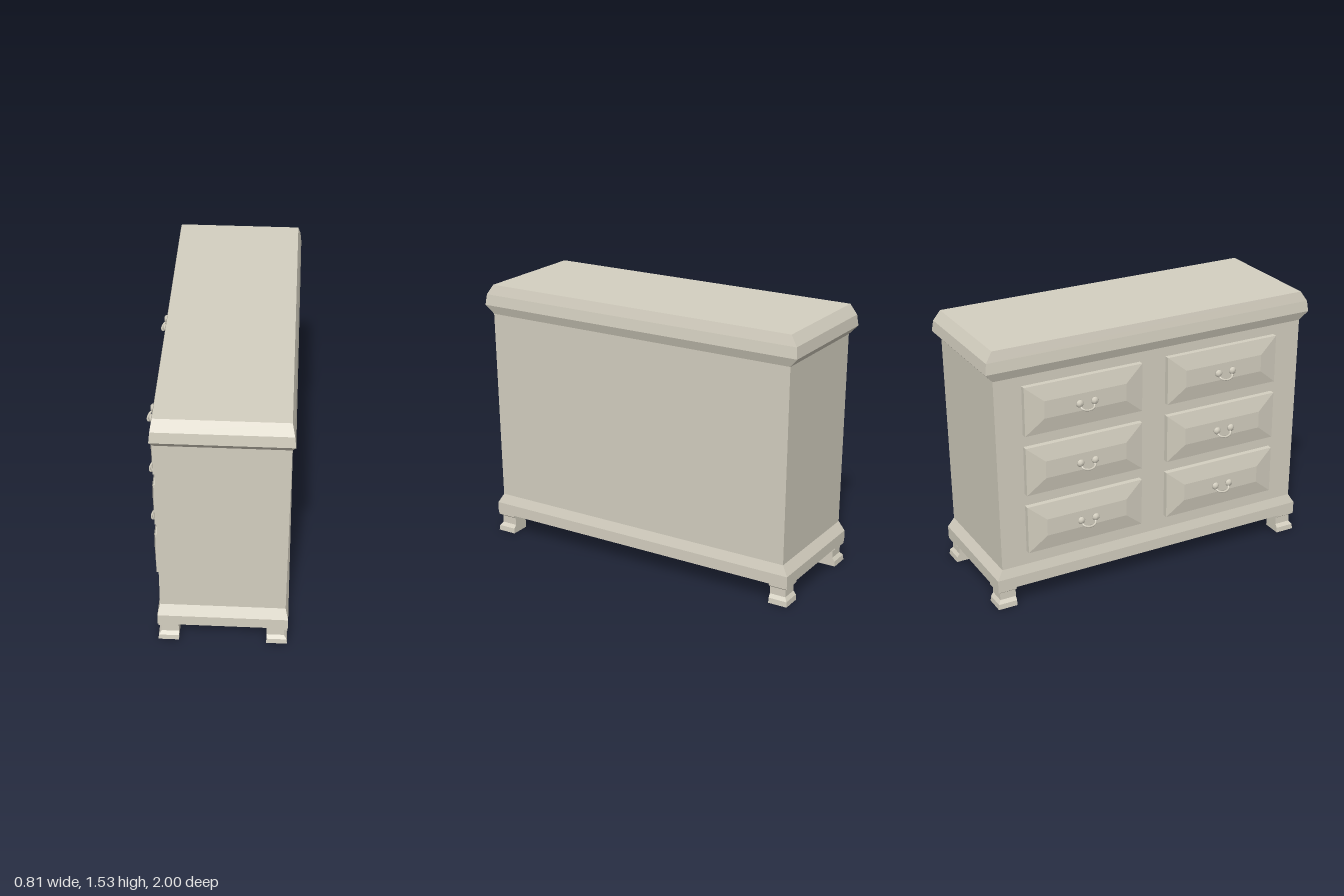
import * as THREE from 'three';

// Stack of rectangles [y, x0, x1, z0, z1], closed at both ends, with flat faces
function loft(sections) {
  const points = [], index = [];
  for (const [y, x0, x1, z0, z1] of sections) {
    points.push(x0, y, z0, x0, y, z1, x1, y, z1, x1, y, z0);
  }
  for (let i = 0; i < sections.length - 1; i++) {
    for (let k = 0; k < 4; k++) {
      const a = i * 4 + k, b = i * 4 + (k + 1) % 4;
      index.push(a, b, b + 4, a, b + 4, a + 4);
    }
  }
  const t = (sections.length - 1) * 4;
  index.push(0, 2, 1, 0, 3, 2, t, t + 1, t + 2, t, t + 2, t + 3);
  const indexed = new THREE.BufferGeometry();
  indexed.setAttribute('position', new THREE.Float32BufferAttribute(points, 3));
  indexed.setIndex(index);
  const geometry = indexed.toNonIndexed();
  geometry.computeVertexNormals();
  return geometry;
}

export function createModel() {
  const model = new THREE.Group();
  model.name = 'dresser';
  const paint = new THREE.MeshStandardMaterial({ color: 0xd4cfc0 });
  paint.name = 'creamPaint';

  function add(parent, name, geometry) {
    const mesh = new THREE.Mesh(geometry, paint);
    mesh.name = name;
    parent.add(mesh);
    return mesh;
  }
  const ring = ([y, x0, x1, z]) => [y, x0, x1, -z, z];

  // Carcass: plinth, slightly tapered body and moulded top
  add(model, 'plinth', loft([
    [0.117, -0.316, 0.402, 0.976], [0.182, -0.316, 0.402, 0.976], [0.238, -0.303, 0.386, 0.942],
  ].map(ring)));
  add(model, 'body', loft([
    [0.238, -0.303, 0.386, 0.942], [1.357, -0.304, 0.392, 0.954],
  ].map(ring)));
  add(model, 'top', loft([
    [1.357, -0.304, 0.392, 0.954], [1.408, -0.324, 0.41, 1.0],
    [1.47, -0.318, 0.403, 0.992], [1.528, -0.307, 0.389, 0.954],
  ].map(ring)));

  // Feet: straight inner faces, flared outer faces; [y, outward inset]
  const footProfile = [[0, 0], [0.03, 0.003], [0.05, 0.018], [0.093, 0.018], [0.105, 0.002], [0.118, 0.002]];
  const span = (s, inner, outer) => s > 0 ? [inner, outer] : [-outer, -inner];
  for (const sx of [-1, 1]) {
    for (const sz of [-1, 1]) {
      const foot = add(model, 'foot', loft(footProfile.map(([y, inset]) => [
        y, ...span(sx, 0.2425, 0.3575 - inset), ...span(sz, 0.865, 0.977 - inset),
      ])));
      foot.position.x = 0.0425;
    }
  }

  // Drawer front with bevelled border, facing -x
  const drawerGeometry = loft([
    [0, -0.14, 0.14, -0.353, 0.353],
    [0.032, -0.14, 0.14, -0.353, 0.353],
    [0.05, -0.05, 0.05, -0.245, 0.245],
  ]).rotateZ(Math.PI / 2);

  // Knob: stem and rounded head, facing -x
  const knobGeometry = new THREE.LatheGeometry([
    [0.011, 0], [0.011, 0.008], [0.021, 0.012], [0.022, 0.02], [0.014, 0.028], [0, 0.03],
  ].map(([r, y]) => new THREE.Vector2(r, y)), 10).rotateZ(Math.PI / 2);

  // Bail: half hoop hanging outward and down between the knobs
  const bailPoints = [];
  for (let i = 0; i <= 10; i++) {
    const a = Math.PI * (-0.12 + 1.24 * i / 10);
    const d = 0.012 + 0.025 * (1 + Math.sin(a));
    bailPoints.push(new THREE.Vector3(-0.052 - d * 0.74 + 0.009, 0.004 - d * 0.67, 0.04 * Math.cos(a)));
  }
  const bailGeometry = new THREE.TubeGeometry(new THREE.CatmullRomCurve3(bailPoints), 16, 0.006, 6);

  for (const z of [-0.441, 0.426]) {
    for (const y of [0.46, 0.811, 1.162]) {
      const drawer = new THREE.Group();
      drawer.name = 'drawer';
      drawer.position.set(-0.302, y, z);
      add(drawer, 'drawerFront', drawerGeometry);
      for (const side of [-1, 1]) {
        add(drawer, 'knob', knobGeometry).position.set(-0.048, 0, side * 0.045);
      }
      add(drawer, 'bailHandle', bailGeometry);
      model.add(drawer);
    }
  }
  return model;
}
